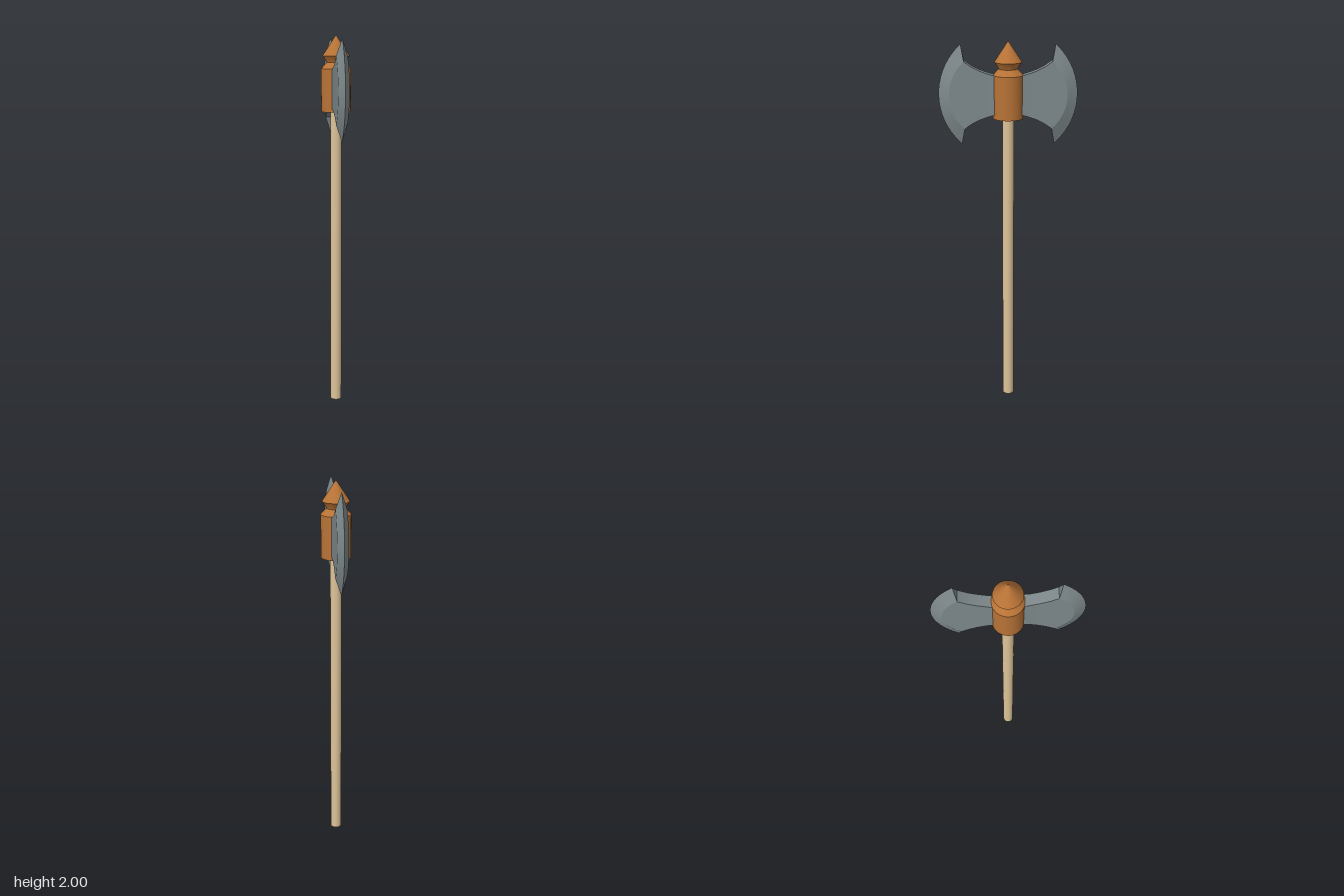
import * as THREE from 'three';
import { toCreasedNormals } from 'three/addons/utils/BufferGeometryUtils.js';

const paint = (color) => new THREE.MeshStandardMaterial({ color });

function addPart(group, name, geometry, material) {
  const mesh = new THREE.Mesh(geometry, material);
  mesh.name = name;
  group.add(mesh);
  return mesh;
}

// Turned part from [radius, height] pairs, with crisp rims
function turned(points) {
  const lathe = new THREE.LatheGeometry(points.map(([r, y]) => new THREE.Vector2(r, y)), 32);
  return toCreasedNormals(lathe, 0.5);
}

// Depth of a circular arc at fraction t of its half chord
function arcZ(t, halfChord, zEnd, zMiddle) {
  const sag = zMiddle - zEnd;
  const radius = (halfChord * halfChord + sag * sag) / (2 * sag);
  return zMiddle - radius + Math.sqrt(radius * radius - (t * halfChord) ** 2);
}

// One blade pointing to +z: flat cheeks, then a bevel down to the curved edge
function bladeGeometry() {
  const rows = 16;
  // Neck stations: z, half height, half thickness
  const neck = [[0.03, 0.098, 0.031], [0.07, 0.1, 0.03], [0.1, 0.108, 0.028],
    [0.145, 0.124, 0.028], [0.183, 0.143, 0.028]];
  const columns = neck.map(([z, h, x]) => (t) => [x, t * h, z]);
  columns.push((t) => [0.028, t * 0.17, arcZ(t, 0.17, 0.222, 0.3)]);
  columns.push((t) => [0, t * 0.254, arcZ(t, 0.254, 0.238, 0.353)]);

  const point = (side, c, r) => {
    const [x, y, z] = columns[c]((2 * r) / rows - 1);
    return [side * x, y, z];
  };
  const positions = [];
  const quad = (a, b, c, d) => positions.push(...a, ...b, ...c, ...a, ...c, ...d);

  for (let c = 0; c < columns.length - 1; c++) {
    // Cheeks on both sides
    for (let r = 0; r < rows; r++) {
      quad(point(1, c, r), point(1, c, r + 1), point(1, c + 1, r + 1), point(1, c + 1, r));
      quad(point(-1, c, r), point(-1, c + 1, r), point(-1, c + 1, r + 1), point(-1, c, r + 1));
    }
    // Upper and lower rims, closing to a point at the tips
    quad(point(-1, c, rows), point(-1, c + 1, rows), point(1, c + 1, rows), point(1, c, rows));
    quad(point(1, c, 0), point(1, c + 1, 0), point(-1, c + 1, 0), point(-1, c, 0));
  }
  const geometry = new THREE.BufferGeometry();
  geometry.setAttribute('position', new THREE.Float32BufferAttribute(positions, 3));
  return toCreasedNormals(geometry, 0.35);
}

export function createModel() {
  const axe = new THREE.Group();
  axe.name = 'doubleAxe';
  const wood = paint(0xdec398);
  const copper = paint(0xb87336);
  const steel = paint(0x7f8a8c);

  // Long round shaft
  const handle = addPart(axe, 'handle', new THREE.CylinderGeometry(0.03, 0.03, 1.64, 24), wood);
  handle.position.y = 0.82;

  // Sleeve that carries the blades
  addPart(axe, 'socket', turned([[0, 1.61], [0.077, 1.61], [0.077, 1.83], [0.048, 1.862], [0, 1.862]]), copper);

  // Flared neck and pointed cap
  addPart(axe, 'finial', turned([[0.048, 1.855], [0.05, 1.866], [0.07, 1.895], [0, 2]]), copper);

  // Two mirrored blades
  const blade = bladeGeometry();
  ['frontBlade', 'backBlade'].forEach((name, i) => {
    const mesh = addPart(axe, name, blade, steel);
    mesh.position.y = 1.73;
    mesh.rotation.y = i * Math.PI;
  });

  return axe;
}
